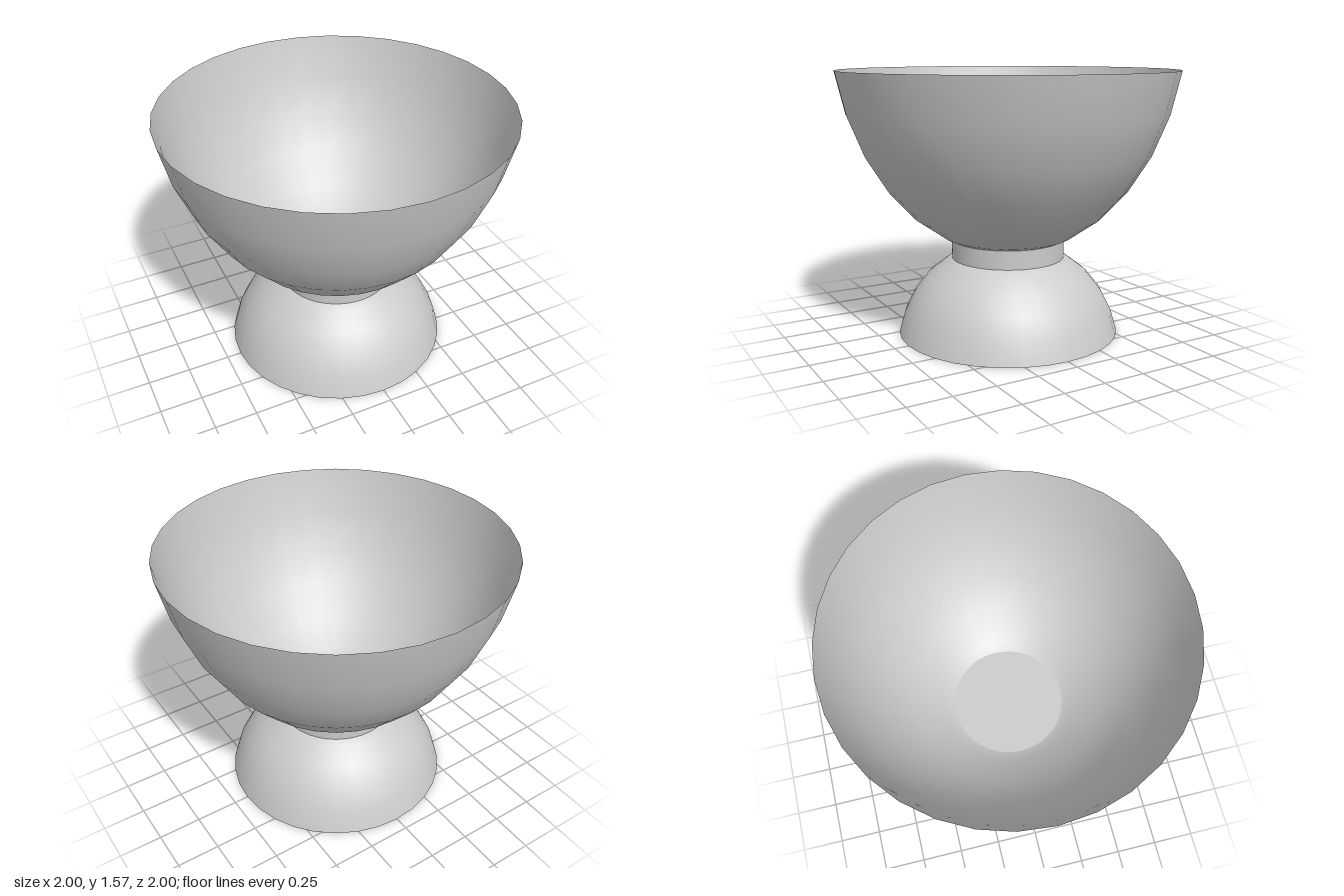
import * as THREE from 'three';

const shellMaterial = new THREE.MeshStandardMaterial({ color: 0xcccccc, side: THREE.DoubleSide });
const solidMaterial = new THREE.MeshStandardMaterial({ color: 0xcccccc });

// Thin open shell turned from [radius, height] pairs, listed bottom to top
function shell(name, profile) {
  const points = profile.map(([r, y]) => new THREE.Vector2(r, y));
  const mesh = new THREE.Mesh(new THREE.LatheGeometry(points, 32), shellMaterial);
  mesh.name = name;
  return mesh;
}

export function createModel() {
  const group = new THREE.Group();
  group.name = 'footedBowl';

  // Wide open bowl
  group.add(shell('bowl', [
    [0.335, 0.567], [0.39, 0.59], [0.565, 0.713], [0.72, 0.885],
    [0.847, 1.09], [0.942, 1.325], [1, 1.573],
  ]));

  // Hollow domed foot, open underneath
  group.add(shell('foot', [
    [0.665, 0], [0.627, 0.13], [0.565, 0.25], [0.48, 0.355],
    [0.375, 0.435], [0.335, 0.455],
  ]));

  // Short solid neck; its caps close the bowl and the foot
  const bottom = 0.455, top = 0.567;
  const neck = new THREE.Mesh(
    new THREE.CylinderGeometry(0.338, 0.338, top - bottom, 64), solidMaterial);
  neck.name = 'neck';
  neck.position.y = (bottom + top) / 2;
  group.add(neck);

  return group;
}
